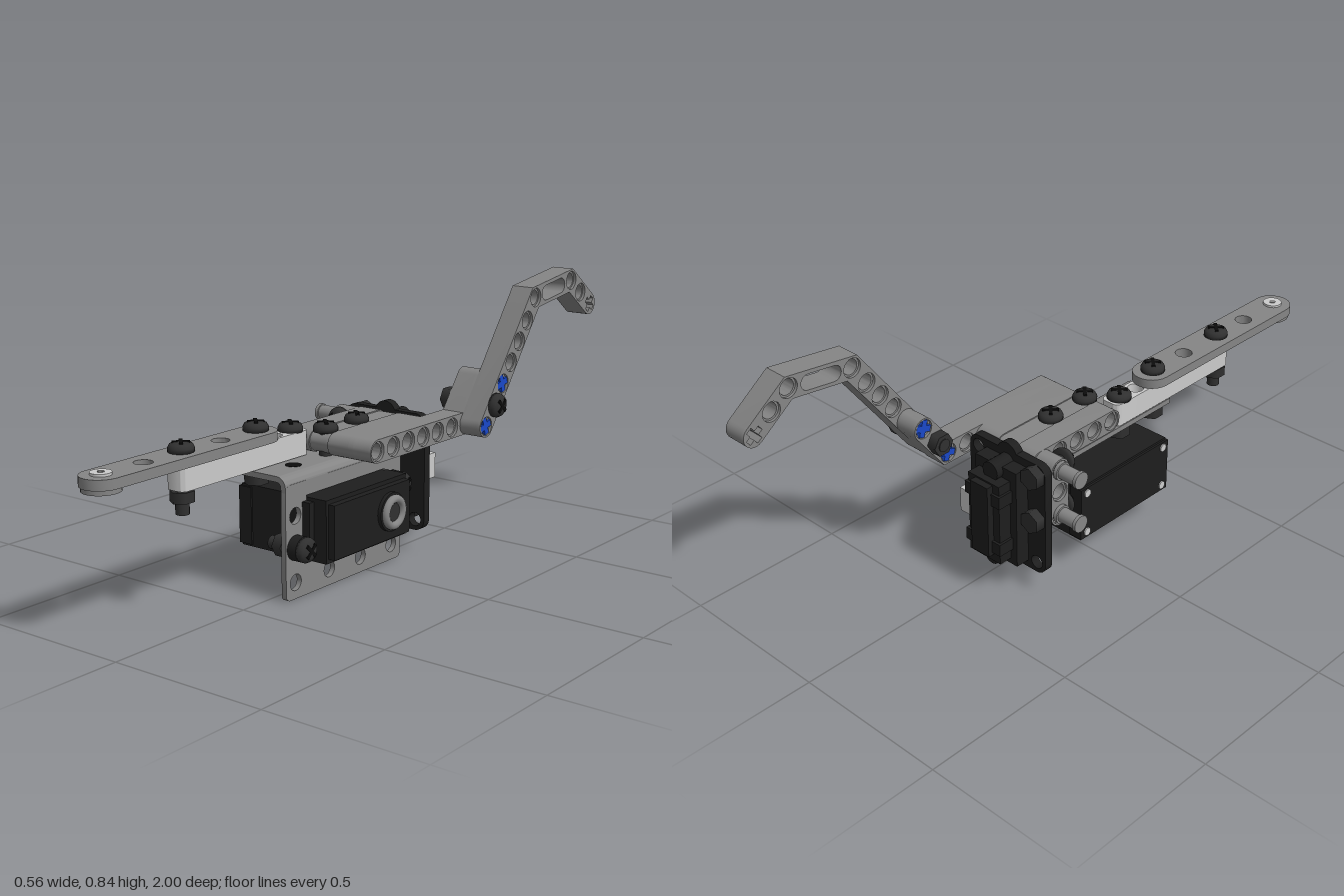
import * as THREE from 'three';
import { toCreasedNormals } from 'three/addons/utils/BufferGeometryUtils.js';

const mat = (color) => new THREE.MeshStandardMaterial({ color });
const GREY = mat(0x858585), LIGHT = mat(0xcccccc), BLACK = mat(0x1e1e1e), DARK = mat(0x303030);
const BLUE = mat(0x1a48c8), YELLOW = mat(0xe0b020), SLOT = mat(0x0c0c0c);
const V2 = (x, y) => new THREE.Vector2(x, y);
const UP = new THREE.Vector3(0, 1, 0);

export function createModel() {
  const root = new THREE.Group();

  function add(name, geo, material, parent = root) {
    const m = new THREE.Mesh(geo, material);
    m.name = name;
    parent.add(m);
    return m;
  }
  // Box given by its limits
  function box(name, x0, x1, y0, y1, z0, z1, material) {
    const m = add(name, new THREE.BoxGeometry(x1 - x0, y1 - y0, z1 - z0), material);
    m.position.set((x0 + x1) / 2, (y0 + y1) / 2, (z0 + z1) / 2);
    return m;
  }
  // Cylinder starting at a point and running along a direction
  function rod(name, from, dir, r, len, material, sides = 24, parent = root) {
    const d = new THREE.Vector3(...dir);
    const m = add(name, new THREE.CylinderGeometry(r, r, len, sides), material, parent);
    m.quaternion.setFromUnitVectors(UP, d);
    m.position.set(...from).addScaledVector(d, len / 2);
    return m;
  }
  // Outline of constant half width r around a polyline, with round ends
  function ribbon(pts, r) {
    const n = pts.length, out = [];
    const dirs = pts.slice(1).map((p, i) => p.clone().sub(pts[i]).normalize());
    const normal = (d) => V2(-d.y, d.x);
    const side = (s) => pts.map((p, i) => {
      if (i === 0 || i === n - 1) return p.clone().addScaledVector(normal(dirs[i ? n - 2 : 0]), s * r);
      const a = normal(dirs[i - 1]), b = normal(dirs[i]);
      return p.clone().addScaledVector(a.clone().add(b), s * r / (1 + a.dot(b)));
    });
    const cap = (p, d) => {
      const a0 = Math.atan2(d.y, d.x) - Math.PI / 2;
      for (let k = 1; k < 12; k++) {
        const a = a0 + Math.PI * k / 12;
        out.push(V2(p.x + r * Math.cos(a), p.y + r * Math.sin(a)));
      }
    };
    out.push(...side(-1));
    cap(pts[n - 1], dirs[n - 2]);
    out.push(...side(1).reverse());
    cap(pts[0], dirs[0].clone().negate());
    return out;
  }
  const circle = (p, r) => new THREE.Path().absarc(p.x, p.y, r, 0, Math.PI * 2, true);
  function cross(p, a, angle) {
    const b = a * 0.36;
    const c = [[a, b], [b, b], [b, a], [-b, a], [-b, b], [-a, b], [-a, -b], [-b, -b], [-b, -a], [b, -a], [b, -b], [a, -b]];
    return new THREE.Path(c.map(([x, y]) => V2(x, y).rotateAround(V2(0, 0), angle).add(p)));
  }
  function extrude(outline, holes, depth) {
    const shape = outline instanceof THREE.Shape ? outline : new THREE.Shape(outline);
    shape.holes = holes;
    return toCreasedNormals(new THREE.ExtrudeGeometry(shape, { depth, bevelEnabled: false, curveSegments: 10 }), 0.6);
  }
  // Beam in the side plane (u = -z, v = y); holes widen at both faces
  function beam(name, path, r, x0, x1, holes, material, extra = []) {
    const g = new THREE.Group();
    g.name = name;
    const lip = 0.009, outline = ribbon(path, r);
    [[x0, lip, 0.03], [x0 + lip, x1 - x0 - 2 * lip, 0.024], [x1 - lip, lip, 0.03]].forEach(([x, w, hr]) => {
      const m = add(name, extrude(outline, holes.map((h) => circle(h, hr)).concat(extra), w), material, g);
      m.rotation.y = Math.PI / 2;
      m.position.x = x;
    });
    root.add(g);
  }
  function roundRect(x0, y0, x1, y1, r) {
    const s = new THREE.Shape();
    s.absarc(x1 - r, y1 - r, r, 0, Math.PI / 2);
    s.absarc(x0 + r, y1 - r, r, Math.PI / 2, Math.PI);
    s.absarc(x0 + r, y0 + r, r, Math.PI, Math.PI * 1.5);
    s.absarc(x1 - r, y0 + r, r, Math.PI * 1.5, Math.PI * 2);
    return s;
  }
  // Domed cross-slot bolt: head on the surface point, shaft running back, nut at its end
  const headProfile = [[0.0001, 0], [0.038, 0], [0.038, 0.012], [0.033, 0.022], [0.02, 0.028], [0.0001, 0.03]].map(([x, y]) => V2(x, y));
  function bolt(at, dir, len, nutAt) {
    const g = new THREE.Group();
    g.name = 'bolt';
    add('boltHead', new THREE.LatheGeometry(headProfile, 24), DARK, g);
    for (const a of [0.785, 2.356]) {
      const s = add('boltSlot', new THREE.BoxGeometry(0.05, 0.008, 0.011), SLOT, g);
      s.position.y = 0.0262;
      s.rotation.y = a;
    }
    rod('boltShaft', [0, 0, 0], [0, -1, 0], 0.02, len, DARK, 16, g);
    if (nutAt) rod('nut', [0, -nutAt, 0], [0, -1, 0], 0.036, 0.032, DARK, 6, g);
    g.position.set(...at);
    g.quaternion.setFromUnitVectors(UP, new THREE.Vector3(...dir));
    root.add(g);
  }

  // Front arm plate, lying flat (shape y = -z)
  const armX = -0.093;
  const plate = add('frontArmPlate', extrude(ribbon([V2(armX, -0.94), V2(armX, -0.325)], 0.06),
    [0.48, 0.785].map((z) => circle(V2(armX, -z), 0.027)), 0.03), GREY);
  plate.rotation.x = -Math.PI / 2;
  plate.position.y = 0.448;
  rod('tipWasher', [armX, 0.434, 0.94], UP.toArray(), 0.055, 0.014, GREY);
  rod('tipPin', [armX, 0.428, 0.94], UP.toArray(), 0.03, 0.057, LIGHT);
  rod('tipPinHole', [armX, 0.47, 0.94], UP.toArray(), 0.01, 0.017, GREY);
  // Light bar under the plate
  const bar = add('supportBar', extrude(roundRect(-0.127, -0.672, -0.058, -0.13, 0.02),
    [0.25, 0.48].map((z) => circle(V2(armX, -z), 0.025)), 0.075), LIGHT);
  bar.rotation.x = -Math.PI / 2;
  bar.position.y = 0.373;
  bolt([armX, 0.478, 0.64], [0, 1, 0], 0.178, 0.11);
  bolt([armX, 0.478, 0.33], [0, 1, 0], 0.16, 0.125);
  bolt([armX, 0.446, 0.175], [0, 1, 0], 0.13, 0.095);

  // Bracket: side plate with servo window, folded over the top
  const window1 = new THREE.Path([V2(-0.285, 0.1), V2(0.09, 0.1), V2(0.09, 0.3), V2(-0.285, 0.3)]);
  const bracketHoles = [[-0.335, 0.05], [-0.18, 0.05], [-0.03, 0.05], [0.125, 0.05], [-0.335, 0.25], [0.125, 0.155]]
    .map(([u, v]) => circle(V2(u, v), 0.025));
  const side = add('bracketSide', extrude(roundRect(-0.378, 0, 0.172, 0.345, 0.018), [window1, ...bracketHoles], 0.017), GREY);
  side.rotation.y = Math.PI / 2;
  side.position.x = 0.04;
  const fold = new THREE.Shape().moveTo(-0.127, 0.353).lineTo(0.025, 0.353);
  fold.absarc(0.025, 0.338, 0.015, Math.PI / 2, 0, true);
  fold.lineTo(0.04, 0.325).lineTo(0.057, 0.325).lineTo(0.057, 0.338);
  fold.absarc(0.025, 0.338, 0.032, 0, Math.PI / 2);
  fold.lineTo(-0.127, 0.37);
  add('bracketTop', extrude(fold, [], 0.55), GREY).position.z = -0.172;
  rod('bracketTopHole', [-0.02, 0.366, 0.25], [0, 1, 0], 0.025, 0.005, SLOT);

  // Main servo, shaft toward +x
  box('servoBody', -0.19, 0.13, 0.105, 0.295, -0.1, 0.285, BLACK);
  box('servoBase', -0.197, -0.15, 0.112, 0.288, -0.105, 0.29, BLACK);
  box('servoGearCase', 0.13, 0.152, 0.118, 0.282, -0.09, 0.275, BLACK);
  box('servoEar', 0.058, 0.085, 0.115, 0.285, -0.1, 0.305, BLACK);
  rod('servoBoss', [0.15, 0.205, 0.01], [1, 0, 0], 0.06, 0.014, BLACK);
  const horn = add('servoHorn', new THREE.TorusGeometry(0.041, 0.013, 10, 32), GREY);
  horn.rotation.y = Math.PI / 2;
  horn.position.set(0.168, 0.205, 0.01);
  rod('servoShaft', [0.15, 0.205, 0.01], [1, 0, 0], 0.03, 0.018, DARK);
  for (const y of [0.132, 0.27]) for (const z of [-0.08, 0.265])
    rod('servoScrew', [-0.194, y, z], [-1, 0, 0], 0.013, 0.007, LIGHT, 12);
  bolt([0.088, 0.155, 0.335], [1, 0, 0], 0.12, 0.06);
  bolt([0.088, 0.25, -0.125], [1, 0, 0], 0.12, 0.06);
  for (const [y, z] of [[0.155, 0.335], [0.25, -0.125]]) rod('servoEarTab', [0.057, y, z], [1, 0, 0], 0.038, 0.031, BLACK);

  // Frame between bracket and lifting arm
  const holesZ = [0, 1, 2, 3, 4].map((i) => V2(-0.1 + 0.076 * i, 0.41));
  const span = [V2(-0.1, 0.41), V2(0.21, 0.41)];
  beam('frameBeamRight', span, 0.0355, -0.13, -0.055, holesZ, GREY);
  beam('frameBeamMiddle', span, 0.032, -0.055, 0.015, holesZ, GREY);
  beam('frameBeamLeft', span, 0.0355, 0.015, 0.1, holesZ, GREY);
  for (const z of [0.1, -0.05]) bolt([-0.02, 0.443, z], [0, 1, 0], 0.13, 0.09);
  // Upright holder with two pins at the back
  beam('uprightBeam', [V2(0.2, 0.255), V2(0.2, 0.41)], 0.0355, -0.2, -0.06,
    [0.255, 0.333, 0.41].map((v) => V2(0.2, v)), GREY);
  for (const y of [0.26, 0.41]) {
    rod('pin', [-0.06, y, -0.2], [-1, 0, 0], 0.023, 0.22, GREY);
    rod('pinCollar', [-0.2, y, -0.2], [-1, 0, 0], 0.029, 0.012, GREY);
    rod('pinTip', [-0.272, y, -0.2], [-1, 0, 0], 0.027, 0.011, GREY);
    bolt([-0.17, y, -0.163], [0, 0, 1], 0.13, 0.105);
  }

  // Lower lifting arm: bent once
  const step = V2(0.045, 0.06), start = V2(0.356, 0.41);
  const along = (i) => start.clone().addScaledVector(step, i);
  beam('lowerArm', [V2(-0.1, 0.41), start, along(2)], 0.0355, 0.1, 0.175,
    [0, 1, 2, 3, 4, 5, 6].map((i) => V2(-0.1 + 0.076 * i, 0.41)).concat([along(2)]), GREY);
  // Upper lifting arm: bent twice, with a slot and a cross hole at the tip
  const bendA = V2(0.628, 0.777), bendB = V2(0.845, 0.806), tip = V2(0.968, 0.714);
  const slotHole = new THREE.Path(ribbon([V2(0.69, 0.785), V2(0.78, 0.797)], 0.024));
  beam('upperArm', [start, bendA, bendB, tip], 0.0355, 0.175, 0.25,
    [0, 1, 2, 3, 4, 5].map(along).concat([bendA, bendB, bendB.clone().lerp(tip, 0.5)]), GREY,
    [slotHole, cross(tip, 0.026, -0.64)]);
  // Blue cross pins and the pivot bolt joining the arms
  for (const i of [0, 2]) {
    const p = along(i);
    const pin = add('crossPin', extrude(cross(V2(0, 0), 0.027, 0.3).getPoints(), [], 0.146), BLUE);
    pin.rotation.y = Math.PI / 2;
    pin.position.set(0.102, p.y, -p.x);
  }
  bolt([0.25, 0.47, -0.401], [1, 0, 0], 0.185, 0.15);

  // Rear unit: flanged cover plate with stepped housing
  const corners = [[-0.17, 0.105], [0.065, 0.105], [-0.17, 0.41], [0.065, 0.41]].map(([x, y]) => circle(V2(x, y), 0.022));
  add('rearFlange', extrude(roundRect(-0.205, 0.07, 0.1, 0.445, 0.035), corners, 0.028), BLACK).position.z = -0.268;
  for (const y of [0.085, 0.43]) rod('rearLobe', [-0.053, y, -0.268], [0, 0, 1], 0.04, 0.028, BLACK);
  box('rearHousing', -0.135, 0.03, 0.095, 0.42, -0.315, -0.268, BLACK);
  box('rearCover', -0.11, 0.015, 0.115, 0.385, -0.36, -0.315, BLACK);
  box('rearRidge', -0.085, -0.015, 0.14, 0.38, -0.382, -0.36, BLACK);
  for (const y of [0.17, 0.335]) box('rearRib', -0.118, 0.022, y - 0.02, y + 0.02, -0.368, -0.3, BLACK);
  for (const y of [0.11, 0.405]) rod('rearStud', [-0.053, y, -0.268], [0, 0, -1], 0.03, 0.07, BLACK);
  // Cable socket
  box('socketBack', 0.0, 0.06, 0.21, 0.31, -0.302, -0.284, YELLOW);
  box('socket', 0.0, 0.066, 0.22, 0.3, -0.347, -0.302, LIGHT);

  return root;
}
